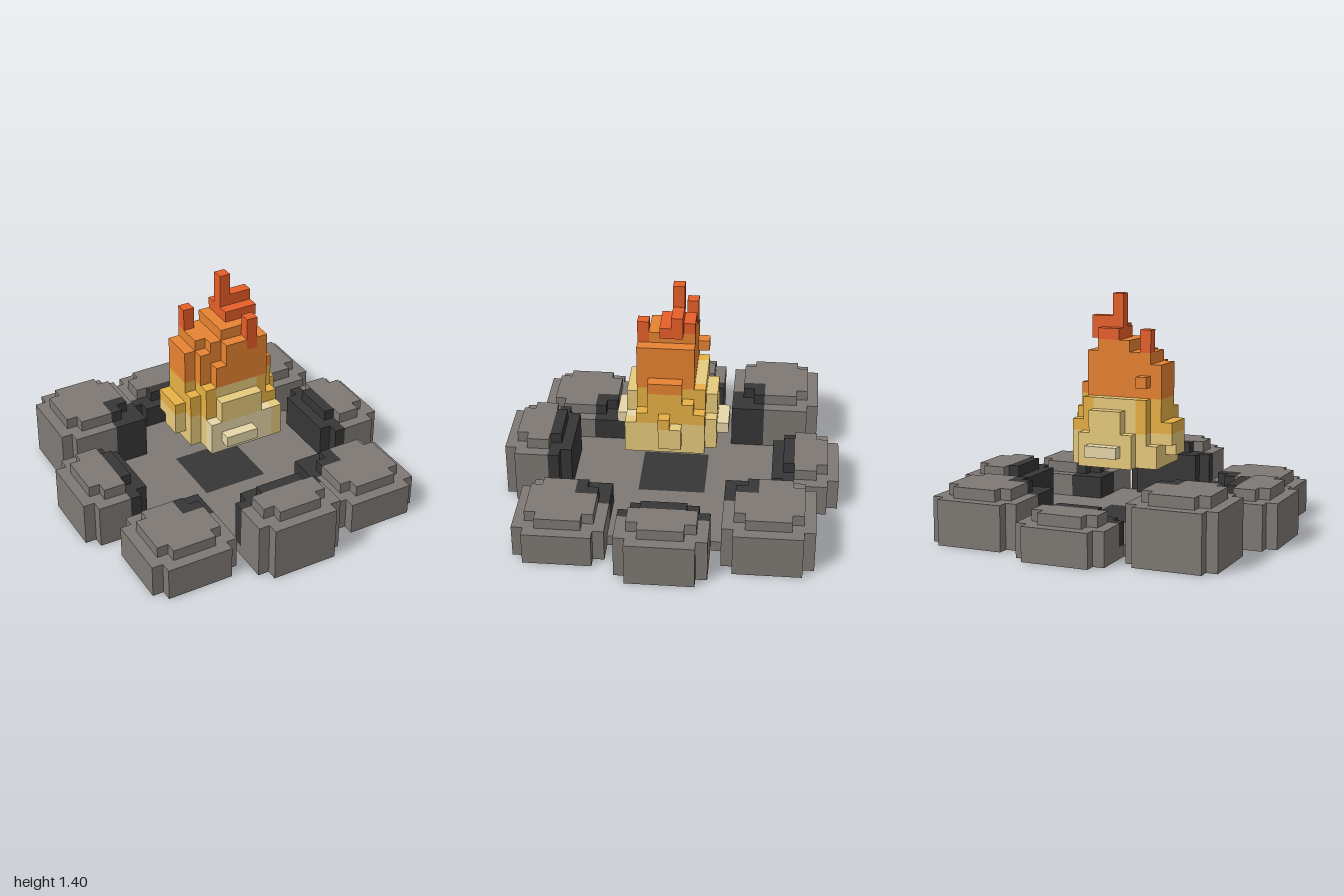
import * as THREE from 'three';

const UNIT = 1 / 15; // edge of one block

const COLORS = {
  stone: 0x7e7974,
  soot: 0x363636,
  palestFlame: 0xf0e0b0,
  paleFlame: 0xf0d282,
  goldFlame: 0xf0b848,
  orangeFlame: 0xf08834,
  redFlame: 0xf0622a,
};

// the six block faces: outward direction and four corners, counter-clockwise
const FACES = [
  [[1, 0, 0], [[1, 0, 1], [1, 0, 0], [1, 1, 0], [1, 1, 1]]],
  [[-1, 0, 0], [[0, 0, 0], [0, 0, 1], [0, 1, 1], [0, 1, 0]]],
  [[0, 1, 0], [[0, 1, 1], [1, 1, 1], [1, 1, 0], [0, 1, 0]]],
  [[0, -1, 0], [[0, 0, 0], [1, 0, 0], [1, 0, 1], [0, 0, 1]]],
  [[0, 0, 1], [[0, 0, 1], [1, 0, 1], [1, 1, 1], [0, 1, 1]]],
  [[0, 0, -1], [[1, 0, 0], [0, 0, 0], [0, 1, 0], [1, 1, 0]]],
];

export function createModel() {
  const group = new THREE.Group();
  const cells = new Map();
  const key = (x, y, z) => `${x},${y},${z}`;

  // fill a box of blocks; colorAt picks the colour of each block
  function fill(part, [x0, x1, y0, y1, z0, z1], colorAt) {
    for (let x = x0; x < x1; x++)
      for (let y = y0; y < y1; y++)
        for (let z = z0; z < z1; z++)
          cells.set(key(x, y, z), { part, color: colorAt(x, y, z), at: [x, y, z] });
  }

  // hearth slab with a charred centre
  fill('hearthSlab', [-10, 10, 0, 1, -10, 10], (x, y, z) =>
    x >= -3 && x < 3 && z >= -3 && z < 3 ? 'soot' : 'stone');

  // ring of eight stones: name, direction, height of the shoulder
  const stones = [
    ['frontStone', 0, 1, 5], ['backStone', 0, -1, 3],
    ['leftStone', 1, 0, 4], ['rightStone', -1, 0, 4],
    ['frontLeftStone', 1, 1, 3], ['frontRightStone', -1, 1, 3],
    ['backLeftStone', 1, -1, 4], ['backRightStone', -1, -1, 5],
  ];
  for (const [name, dx, dz, h] of stones) {
    const corner = dx !== 0 && dz !== 0;
    const reach = corner ? 9 : 12;
    const sootLimit = corner ? 8 : 11;
    const cx = dx * reach, cz = dz * reach;
    const colorAt = (x, y, z) => {
      const far = Math.max(dx * (x + 0.5), dz * (z + 0.5));
      return y > 0 && far < sootLimit ? 'soot' : 'stone';
    };
    const block = (hx, hz, y0, y1) =>
      fill(name, [cx - hx, cx + hx, y0, y1, cz - hz, cz + hz], colorAt);
    // two crossed blocks give the notched outline; the cap is one block smaller
    const crossed = corner ? [[4, 3], [3, 4]]
      : dx === 0 ? [[3, 3], [4, 2]] : [[3, 3], [2, 4]];
    for (const [hx, hz] of crossed) {
      block(hx, hz, 0, h);
      block(hx - 1, hz - 1, h, h + 1);
    }
    // sooty inner corner
    if (corner) {
      const x = dx > 0 ? 5 : -6, z = dz > 0 ? 5 : -6;
      fill(name, [x, x + 1, 1, h, z, z + 1], colorAt);
    }
  }

  // flame: colour runs from pale at the foot to red at the tips
  const flameColor = (x, y, z) => {
    const depth = Math.abs(z + 0.5), side = Math.abs(x + 0.5);
    if (y < 9) return depth > 4 || (z >= 3 && side < 3) ? 'palestFlame' : 'paleFlame';
    if (y < 12) return depth > 2 && side < 2 ? 'paleFlame' : 'goldFlame';
    return y < 17 ? 'orangeFlame' : 'redFlame';
  };
  const flame = [
    // foot and outer licks
    [-4, 4, 6, 11, -2, 2], [-3, 3, 6, 12, -3, 3],
    [-3, 4, 6, 9, 2, 4], [-2, 2, 9, 11, 3, 4],
    [-2, 3, 6, 9, -4, -3], [-1, 2, 9, 11, -4, -3],
    [-2, 1, 7, 8, 4, 5], [-1, 2, 7, 8, -5, -4],
    [-5, -4, 8, 10, -2, 1], [-5, -4, 7, 8, -1, 1],
    [4, 5, 7, 9, -1, 1], [4, 5, 9, 10, 0, 1],
    [3, 4, 6, 10, -3, 3], [3, 4, 10, 13, -1, 2],
    [-4, -3, 6, 8, -3, 2],
    // body
    [-3, 3, 12, 15, -2, 2], [-2, 3, 12, 14, 2, 3], [-1, 3, 14, 16, 2, 3],
    [-4, -3, 10, 15, -2, 1], [-2, 3, 15, 16, -2, 2], [-3, -2, 15, 16, -2, 1],
    [-1, 2, 16, 17, -2, 2], [-3, -2, 13, 14, -3, -2],
  ];
  for (const box of flame) fill('flame', box, flameColor);

  // red tips
  const tips = [
    [0, 3, 17, 18, -1, 1], [0, 2, 17, 18, -2, -1],
    [0, 3, 18, 19, -1, 0], [0, 1, 19, 21, -1, 0],
    [-3, -2, 16, 18, -2, -1], [1, 2, 15, 18, 2, 3],
  ];
  for (const box of tips) fill('flameTips', box, () => 'redFlame');

  // one mesh per part and colour, made of the exposed block faces
  const buckets = new Map();
  for (const { part, color, at } of cells.values()) {
    const id = `${part}|${color}`;
    if (!buckets.has(id)) buckets.set(id, { part, color, pos: [], nor: [], idx: [] });
    const b = buckets.get(id);
    for (const [dir, corners] of FACES) {
      if (cells.has(key(at[0] + dir[0], at[1] + dir[1], at[2] + dir[2]))) continue;
      const n = b.pos.length / 3;
      for (const c of corners) {
        b.pos.push(...c.map((v, i) => (v + at[i]) * UNIT));
        b.nor.push(...dir);
      }
      b.idx.push(n, n + 1, n + 2, n, n + 2, n + 3);
    }
  }

  const materials = {};
  for (const [name, color] of Object.entries(COLORS)) {
    materials[name] = new THREE.MeshStandardMaterial({ color });
    materials[name].name = name;
  }
  const parts = {};
  for (const { part, color, pos, nor, idx } of buckets.values()) {
    if (!idx.length) continue;
    const geometry = new THREE.BufferGeometry();
    geometry.setAttribute('position', new THREE.Float32BufferAttribute(pos, 3));
    geometry.setAttribute('normal', new THREE.Float32BufferAttribute(nor, 3));
    geometry.setIndex(idx);
    const mesh = new THREE.Mesh(geometry, materials[color]);
    mesh.name = `${part} ${color}`;
    if (!parts[part]) {
      parts[part] = new THREE.Group();
      parts[part].name = part;
      group.add(parts[part]);
    }
    parts[part].add(mesh);
  }
  group.name = 'firePit';
  return group;
}
